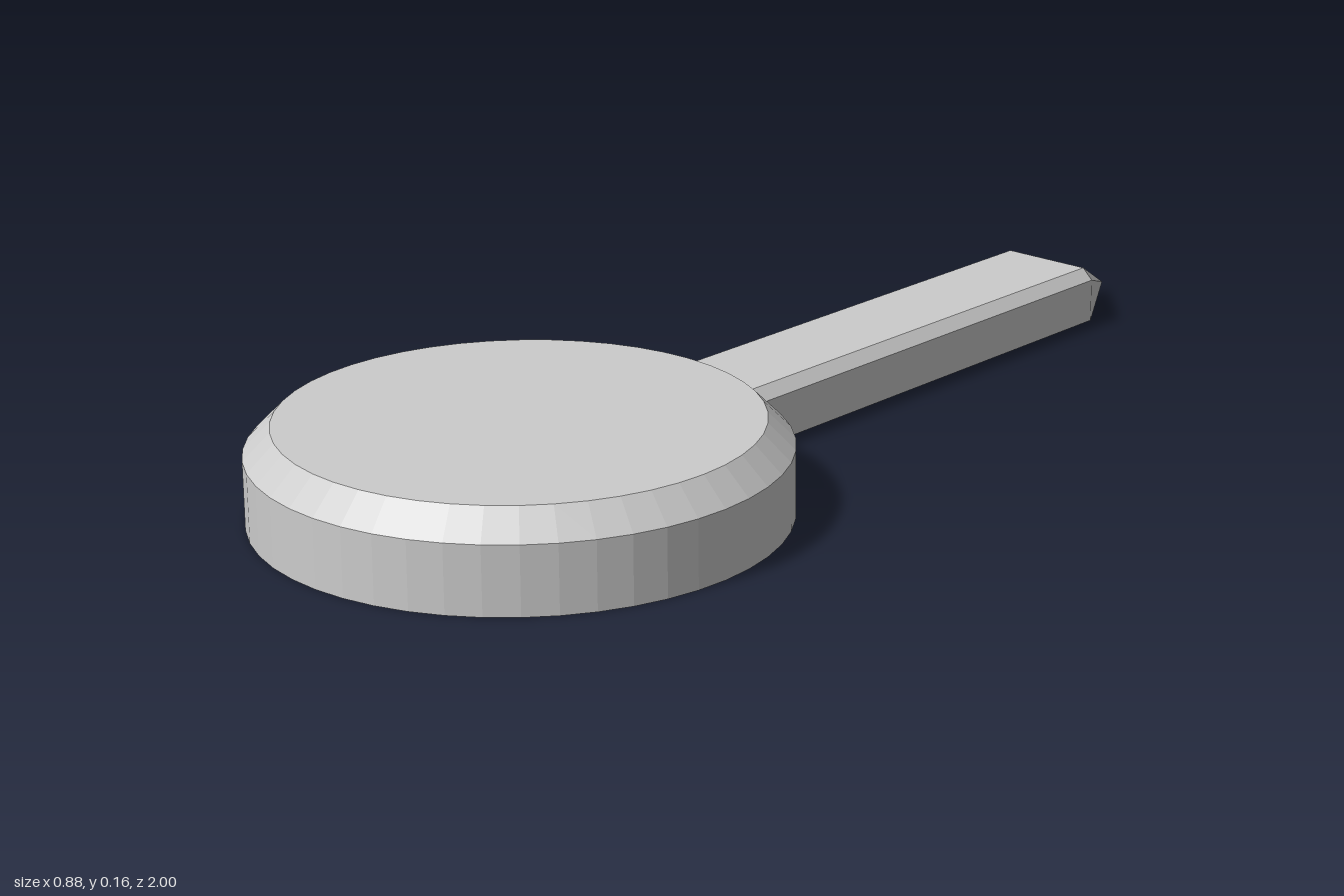
import * as THREE from 'three';

export function createModel() {
  const model = new THREE.Group();
  const grey = new THREE.MeshStandardMaterial({ color: 0xcccccc, flatShading: true, side: THREE.DoubleSide });
  grey.name = 'light grey';

  // Round head: a bevelled cap, hollow and open underneath
  const profile = [[0.4375, 0], [0.4375, 0.115], [0.393, 0.16], [0, 0.16]];
  const head = new THREE.Mesh(
    new THREE.LatheGeometry(profile.map(([r, y]) => new THREE.Vector2(r, y)), 48), grey);
  head.name = 'roundHead';
  head.position.z = 0.5625;
  model.add(head);

  // Pointer: a bar with bevelled top edges that tapers to a low point at the back
  const section = [[-0.105, 0.01], [0.105, 0.01], [0.105, 0.088], [0.085, 0.108], [-0.085, 0.108], [-0.105, 0.088]];
  const front = section.map(([x, y]) => [x, y, 0.138]);
  const back = section.map(([x, y]) => [x, y, -0.82]);
  const tip = [0, 0.022, -1];
  const points = [];
  const tri = (a, b, c) => points.push(...a, ...b, ...c);
  section.forEach((_, i) => {
    const j = (i + 1) % section.length;
    tri(front[i], back[i], back[j]);
    tri(front[i], back[j], front[j]);
    tri(back[i], tip, back[j]);
    if (i > 0 && j > 0) tri(front[0], front[i], front[j]);
  });
  const bar = new THREE.BufferGeometry();
  bar.setAttribute('position', new THREE.Float32BufferAttribute(points, 3));
  bar.computeVertexNormals();
  const pointer = new THREE.Mesh(bar, grey);
  pointer.name = 'pointer';
  model.add(pointer);

  return model;
}
